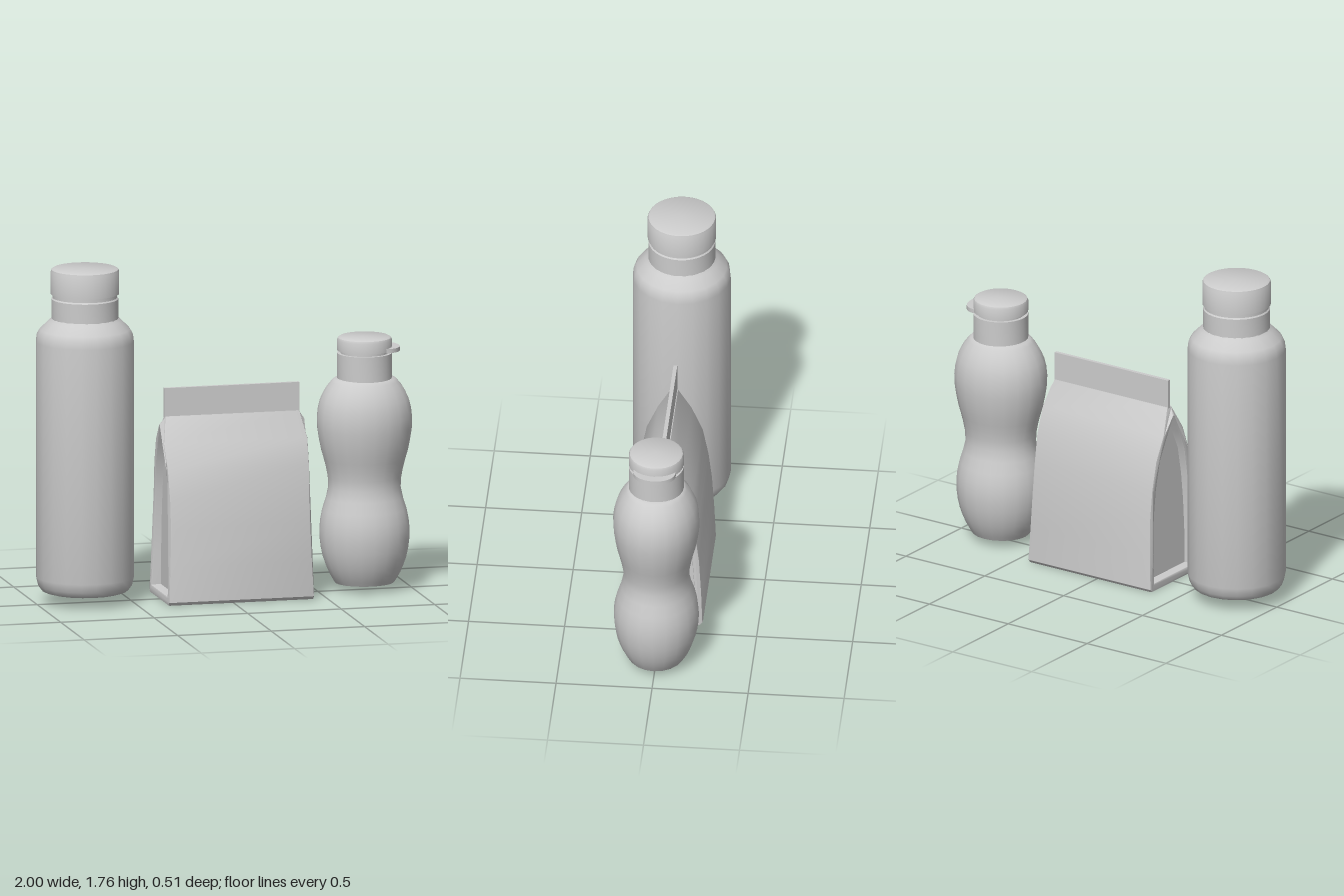
import * as THREE from 'three';
import { toCreasedNormals } from 'three/addons/utils/BufferGeometryUtils.js';

const material = new THREE.MeshStandardMaterial({ color: 0xcccccc });

function add(group, name, geometry, crease = 0.6) {
  const mesh = new THREE.Mesh(toCreasedNormals(geometry, crease), material);
  mesh.name = name;
  group.add(mesh);
  return mesh;
}

// Turned part from [radius, height] pairs, bottom to top
function lathe(profile, segments) {
  return new THREE.LatheGeometry(profile.map(([r, y]) => new THREE.Vector2(r, y)), segments);
}

function tallBottle() {
  const g = new THREE.Group();
  g.name = 'tallBottle';
  add(g, 'tallBottleBody', lathe([
    [0, 0.06], [0.2, 0.06], [0.225, 0.068], [0.245, 0.095], [0.255, 0.14], [0.255, 1.38],
    [0.25, 1.42], [0.235, 1.445], [0.19, 1.49], [0.172, 1.505], [0.168, 1.51],
  ], 20), 0.8);
  add(g, 'tallBottleNeck', lathe([
    [0.174, 1.5], [0.174, 1.605], [0.168, 1.612], [0.168, 1.64],
  ], 32));
  add(g, 'tallBottleCap', lathe([
    [0, 1.632], [0.178, 1.632], [0.178, 1.75], [0.174, 1.76], [0.165, 1.765], [0, 1.765],
  ], 32));
  g.position.x = -0.745;
  return g;
}

function squeezeBottle() {
  const g = new THREE.Group();
  g.name = 'squeezeBottle';

  // Waisted oval body, slightly flatter in its upper half
  const waist = new THREE.SplineCurve([
    [0.155, 0.04], [0.19, 0.1], [0.222, 0.19], [0.236, 0.3], [0.225, 0.41], [0.19, 0.54],
    [0.203, 0.65], [0.23, 0.75], [0.25, 0.88], [0.238, 0.99], [0.2, 1.07], [0.162, 1.115],
  ].map(([r, y]) => new THREE.Vector2(r, y))).getPoints(24);
  const body = lathe([[0, 0.04], ...waist.map((p) => [p.x, p.y]), [0.14, 1.12]], 20);
  const p = body.attributes.position;
  for (let i = 0; i < p.count; i++) {
    const upper = THREE.MathUtils.smoothstep(p.getY(i), 0.3, 0.55);
    p.setZ(i, p.getZ(i) * THREE.MathUtils.lerp(0.94, 0.9, upper));
  }
  add(g, 'squeezeBottleBody', body, 0.8);

  // Neck with a narrow groove under the flip cap
  add(g, 'squeezeBottleNeck', lathe([
    [0.143, 1.11], [0.143, 1.25], [0.125, 1.25], [0.125, 1.27],
  ], 28));
  add(g, 'flipCap', lathe([
    [0, 1.265], [0.143, 1.265], [0.143, 1.32], [0.138, 1.331], [0.128, 1.337], [0, 1.337],
  ], 28));

  // Crescent thumb lip on the cap
  const lip = new THREE.Shape();
  lip.moveTo(0.09, -0.11);
  lip.bezierCurveTo(0.15, -0.115, 0.185, -0.06, 0.185, 0);
  lip.bezierCurveTo(0.185, 0.06, 0.15, 0.115, 0.09, 0.11);
  lip.closePath();
  const lipGeometry = new THREE.ExtrudeGeometry(lip, { depth: 0.022, bevelEnabled: false, curveSegments: 8 });
  lipGeometry.rotateX(-Math.PI / 2).translate(0, 1.261, 0);
  add(g, 'thumbLip', lipGeometry);
  g.position.x = 0.75;
  return g;
}

// Closed side outline of the bag from [half depth, height] pairs
function outline(half, PathType) {
  const path = new PathType();
  half.forEach(([z, y], i) => (i ? path.lineTo(z, y) : path.moveTo(z, y)));
  [...half].reverse().forEach(([z, y]) => path.lineTo(-z, y));
  path.closePath();
  return path;
}

function bag() {
  const g = new THREE.Group();
  g.name = 'bag';
  const outer = [[0.195, 0.008], [0.205, 0.02], [0.198, 0.2], [0.186, 0.4], [0.168, 0.55],
    [0.138, 0.7], [0.08, 0.83], [0.014, 0.955]];
  const inner = [[0.18, 0.036], [0.178, 0.2], [0.165, 0.4], [0.147, 0.55],
    [0.117, 0.7], [0.06, 0.82], [0.006, 0.92]];

  // Front, back and floor as one wrapped shell, its side edges bowing inward
  const shellShape = outline(outer, THREE.Shape);
  shellShape.holes.push(outline(inner, THREE.Path));
  const bevel = 0.008;
  const width = 0.78;
  const shell = new THREE.ExtrudeGeometry(shellShape, {
    depth: width - 2 * bevel, bevelThickness: bevel, bevelSize: bevel, bevelSegments: 2,
  });
  shell.translate(0, 0, bevel - width / 2).rotateY(Math.PI / 2);
  const p = shell.attributes.position;
  for (let i = 0; i < p.count; i++) {
    const y = p.getY(i);
    const bow = 0.016 * Math.sin(Math.PI * THREE.MathUtils.clamp(y / 0.93, 0, 1));
    const pinch = 0.03 * THREE.MathUtils.smoothstep(y, 0.91, 0.96);
    p.setX(i, p.getX(i) * (1 - (bow + pinch) / (width / 2)));
  }
  add(g, 'bagShell', shell, 0.5);

  // Recessed side gussets
  const depth = 0.67;
  const core = new THREE.ExtrudeGeometry(outline(inner, THREE.Shape), { depth, bevelEnabled: false });
  core.translate(0, 0, -depth / 2).rotateY(Math.PI / 2);
  add(g, 'sideGussets', core, 0.5);

  // Flat sealed strip along the top
  const seal = new THREE.BoxGeometry(0.72, 0.17, 0.02);
  seal.translate(0, 1.027, -0.004);
  add(g, 'topSeal', seal);
  g.position.x = 0.04;
  return g;
}

export function createModel() {
  const model = new THREE.Group();
  model.name = 'bottlesAndBag';
  model.add(tallBottle(), bag(), squeezeBottle());
  return model;
}
